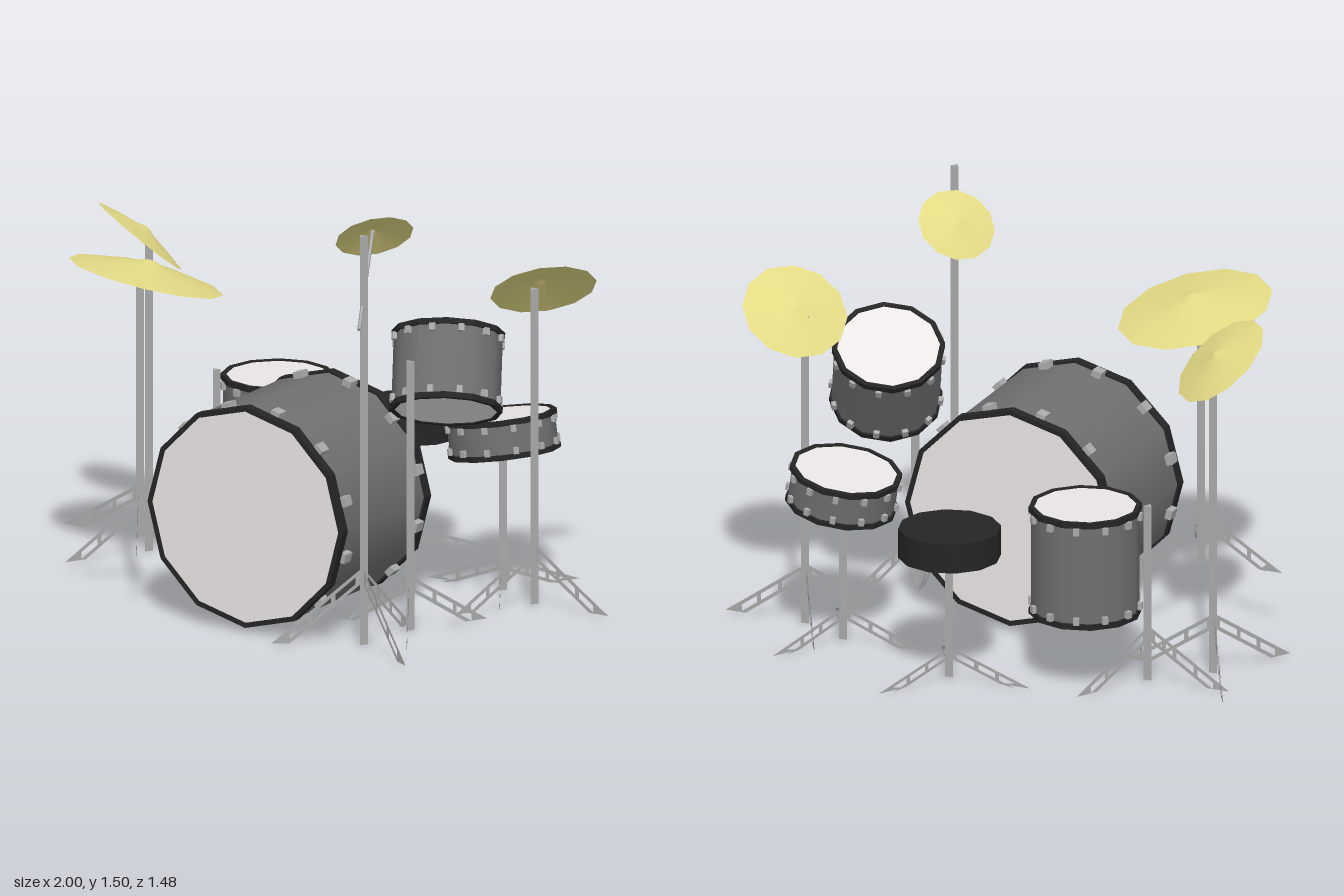
import * as THREE from 'three';

const mat = (color, opts = {}) => {
  const m = new THREE.MeshStandardMaterial({ color });
  return Object.assign(m, opts);
};
const shellMat = mat(0x707070);
const hoopMat = mat(0x252525);
const headMat = mat(0xeae5e5);
const metalMat = mat(0xaaaaaa, { flatShading: true });
const legMat = mat(0xaaaaaa, { side: THREE.DoubleSide });
const brassMat = mat(0xe2d984, { side: THREE.DoubleSide });
const UP = new THREE.Vector3(0, 1, 0);
const SIDES = 12;

function add(parent, name, geometry, material, x = 0, y = 0, z = 0) {
  const mesh = new THREE.Mesh(geometry, material);
  mesh.name = name;
  mesh.position.set(x, y, z);
  parent.add(mesh);
  return mesh;
}

// Drum along local y: shell, two hoops, two heads and a lug on every face at each end
function drum(name, r, h, lug, center, axis) {
  const g = new THREE.Group();
  g.name = name;
  const hoopH = lug * 0.8, rim = r + 0.004;
  add(g, 'shell', new THREE.CylinderGeometry(r - 0.004, r - 0.004, h - 0.01, SIDES, 1, true), shellMat);
  for (const s of [-1, 1]) {
    const end = s * h / 2;
    const profile = [[r - 0.006, -hoopH / 2], [rim, -hoopH / 2], [rim, hoopH / 2],
      [r - 0.014, hoopH / 2], [r - 0.014, hoopH / 2 - 0.008]].map(p => new THREE.Vector2(...p));
    const hoop = add(g, 'hoop', new THREE.LatheGeometry(profile, SIDES),
      mat(0x252525, { flatShading: true, side: THREE.DoubleSide }), 0, end - s * hoopH / 2, 0);
    if (s < 0) hoop.rotation.x = Math.PI;
    const head = add(g, 'head', new THREE.CircleGeometry(r - 0.012, SIDES), headMat, 0, end - s * 0.004, 0);
    head.rotation.x = -s * Math.PI / 2;
    for (let i = 0; i < SIDES; i++) {
      const a = (i + 0.5) * 2 * Math.PI / SIDES, d = r * Math.cos(Math.PI / SIDES) + 0.006;
      const block = add(g, 'lug', new THREE.BoxGeometry(lug * 0.8, lug, lug * 0.6), metalMat,
        Math.sin(a) * d, end - s * (hoopH + lug * 0.45), Math.cos(a) * d);
      block.rotation.y = a;
    }
  }
  g.position.set(...center);
  g.quaternion.setFromUnitVectors(UP, new THREE.Vector3(...axis).normalize());
  return g;
}

// Flat slotted leg in the local xy plane, from the post out to the floor
function legGeometry(hub, reach) {
  const drop = Math.min(0.055, hub * 0.38);
  const inner = reach * (1 - drop / hub);
  const shape = new THREE.Shape([[0, hub], [0, hub - drop], [inner, 0], [reach, 0]]
    .map(p => new THREE.Vector2(...p)));
  const at = (t, k) => new THREE.Vector2(t * reach, hub * (1 - t) - drop * k);
  for (const [a, b] of [[0.08, 0.3], [0.35, 0.56], [0.61, 0.8]]) {
    shape.holes.push(new THREE.Path([at(a, 0.28), at(b, 0.28), at(b, 0.72), at(a, 0.72)]));
  }
  return new THREE.ShapeGeometry(shape);
}

// Three-legged stand with a triangular post
function stand(name, x, z, top, hub, turn = 60, base = 0, reach = 0.31) {
  const g = new THREE.Group();
  g.name = name;
  add(g, 'post', new THREE.CylinderGeometry(0.018, 0.018, top - base, 3), metalMat, 0, (top - base) / 2, 0);
  const geo = legGeometry(hub, reach);
  for (let i = 0; i < 3; i++) {
    add(g, 'leg', geo, legMat).rotation.y = -THREE.MathUtils.degToRad(turn + i * 120);
  }
  g.position.set(x, base, z);
  return g;
}

// Thin shallow cone with a small bell
function cymbal(name, r, center, axis) {
  const profile = [[r, -0.07 * r], [r * 0.6, 0.02 * r], [r * 0.2, 0.09 * r], [r * 0.1, 0.13 * r], [0, 0.15 * r]]
    .map(p => new THREE.Vector2(...p));
  const mesh = new THREE.Mesh(new THREE.LatheGeometry(profile, SIDES), brassMat);
  mesh.name = name;
  mesh.position.set(...center);
  mesh.quaternion.setFromUnitVectors(UP, new THREE.Vector3(...axis).normalize());
  return mesh;
}

export function createModel() {
  const kit = new THREE.Group();
  kit.name = 'drumKit';

  // Drums
  kit.add(drum('bassDrum', 0.4, 0.59, 0.045, [0.013, 0.412, 0.355], [0, 0, 1]));
  kit.add(drum('floorTom', 0.196, 0.4, 0.026, [-0.435, 0.447, -0.285], [0, 1, 0]));
  kit.add(drum('snareDrum', 0.196, 0.14, 0.024, [0.5, 0.57, -0.28], [-0.17, 1, -0.05]));
  kit.add(drum('rackTom', 0.196, 0.29, 0.026, [0.495, 0.88, 0.08], [-0.28, 1, -0.52]));

  // Drum stands
  kit.add(stand('floorTomStand', -0.645, -0.21, 0.65, 0.2));
  kit.add(stand('snareStand', 0.5, -0.275, 0.5, 0.12));
  kit.add(stand('rackTomStand', 0.5, 0.34, 0.98, 0.2));

  // Cymbals and their stands
  kit.add(stand('largeCymbalStand', -0.555, 0.445, 1.18, 0.19, 60, 0.21));
  kit.add(cymbal('largeCymbal', 0.28, [-0.535, 1.175, 0.42], [0.15, 1, -0.22]));
  kit.add(stand('rightCymbalStand', -0.825, -0.05, 1.15, 0.22, 0, 0, 0.33));
  kit.add(cymbal('rightCymbal', 0.19, [-0.83, 1.165, -0.02], [0.6, 1, -0.6]));
  kit.add(stand('leftCymbalStand', 0.69, -0.18, 1.15, 0.22, 0));
  kit.add(cymbal('leftCymbal', 0.19, [0.73, 1.165, -0.18], [-0.6, 1, -0.6]));

  // Boom stand with a slanted arm carrying the small cymbal
  kit.add(stand('boomStand', 0.46, 0.585, 1.49, 0.28, 30, 0, 0.32));
  const low = new THREE.Vector3(0.51, 1.18, 0.69), high = new THREE.Vector3(0.305, 1.41, 0.27);
  const dir = high.clone().sub(low);
  const arm = add(kit, 'boomArm', new THREE.CylinderGeometry(0.007, 0.007, dir.length(), 5), metalMat);
  arm.position.copy(low).add(high).multiplyScalar(0.5);
  arm.quaternion.setFromUnitVectors(UP, dir.normalize());
  kit.add(cymbal('smallCymbal', 0.14, [0.31, 1.4, 0.27], [-0.71, 1, -0.64]));

  // Stool
  add(kit, 'stoolSeat', new THREE.CylinderGeometry(0.182, 0.182, 0.108, SIDES), hoopMat, 0.003, 0.506, -0.475);
  kit.add(stand('stoolStand', 0.003, -0.47, 0.455, 0.11));

  return kit;
}
